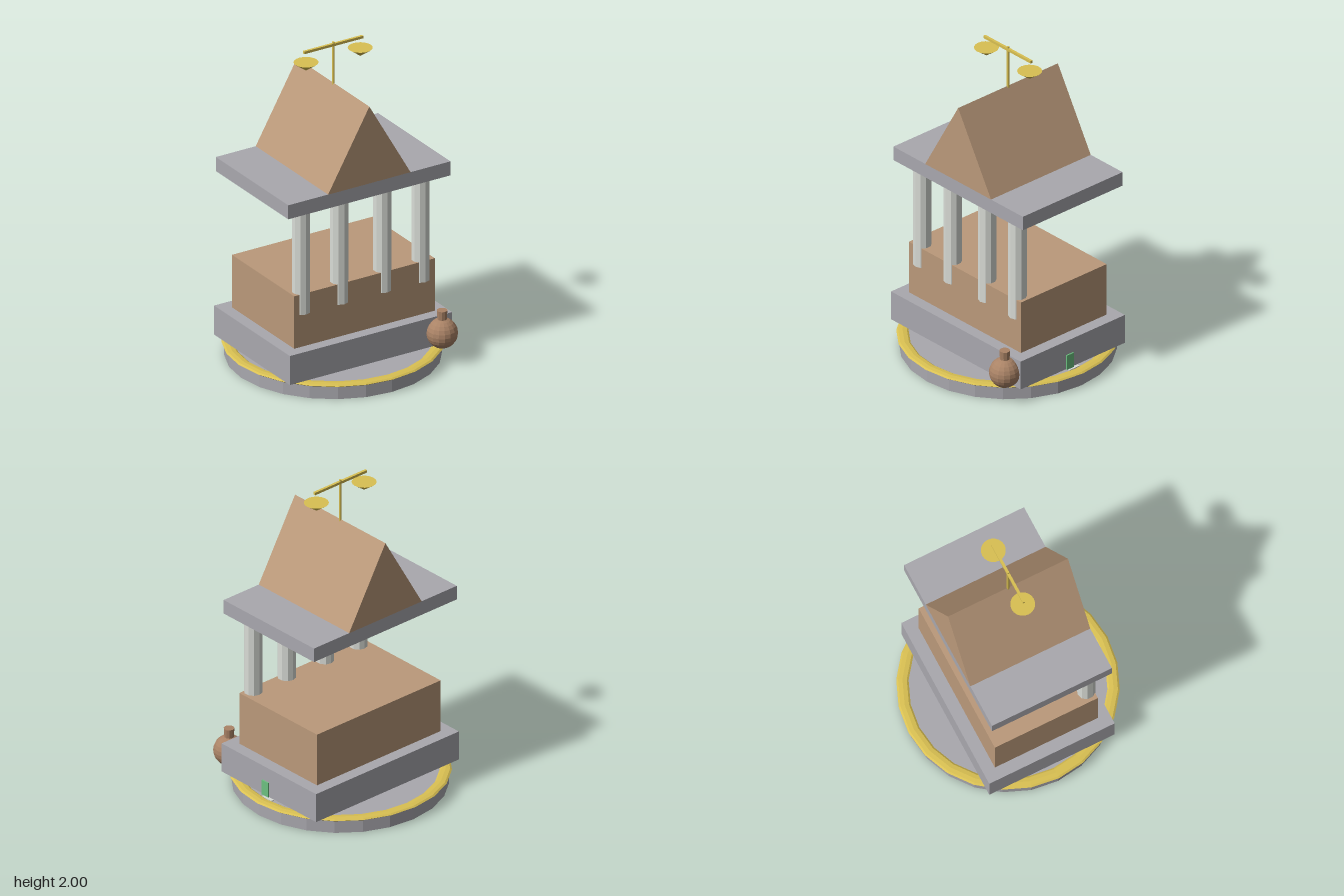
import * as THREE from 'three';

const mat = (name, color, flatShading = true) =>
  new THREE.MeshStandardMaterial({ name, color, flatShading });

export function createModel() {
  const stone = mat('grey stone', 0xa9a8ae);
  const brick = mat('tan wall', 0xba997a);
  const marble = mat('pale marble', 0xd9dcd6);
  const gold = mat('gold', 0xd9c052);
  const clay = mat('brown clay', 0xaa8366);
  const green = mat('green', 0x6cc080);

  const model = new THREE.Group();
  const add = (name, geometry, material, x = 0, y = 0, z = 0, parent = model) => {
    const mesh = new THREE.Mesh(geometry, material);
    mesh.name = name;
    mesh.position.set(x, y, z);
    parent.add(mesh);
    return mesh;
  };
  const group = (name) => {
    const g = new THREE.Group();
    g.name = name;
    model.add(g);
    return g;
  };

  // Round base with a flattened gold rim
  add('baseDisc', new THREE.CylinderGeometry(0.635, 0.635, 0.085, 24), stone, 0, 0.0425, 0);
  const rim = new THREE.TorusGeometry(0.615, 0.036, 8, 24).rotateX(Math.PI / 2).scale(1, 0.28, 1);
  add('goldRim', rim, gold, 0, 0.087, 0);

  // Stacked plinth and hall
  add('plinth', new THREE.BoxGeometry(1.12, 0.186, 0.82), stone, 0, 0.19, 0);
  add('hall', new THREE.BoxGeometry(0.97, 0.337, 0.674), brick, 0, 0.4515, 0.002);

  // Row of columns along the front
  const columns = group('columns');
  const columnShape = new THREE.CylinderGeometry(0.055, 0.055, 0.665, 10);
  for (const x of [-0.412, -0.149, 0.149, 0.412])
    add('column', columnShape, marble, x, 0.8225, 0.299, columns);

  // Slab and gabled roof
  add('roofSlab', new THREE.BoxGeometry(1.12, 0.09, 0.784), stone, 0, 1.2, 0);
  const gable = new THREE.Shape();
  gable.moveTo(-0.285, 0).lineTo(0.285, 0).lineTo(0, 0.494);
  const roof = new THREE.ExtrudeGeometry(gable, { depth: 0.784, bevelEnabled: false });
  add('roof', roof, brick, 0, 1.244, -0.392);

  // Balance scale on the ridge
  const scale = group('balanceScale');
  add('pole', new THREE.CylinderGeometry(0.008, 0.008, 0.28, 8), gold, 0, 1.86, 0, scale);
  add('beam', new THREE.BoxGeometry(0.408, 0.016, 0.016), gold, 0, 1.982, 0, scale);
  const panShape = new THREE.ConeGeometry(0.073, 0.053, 20).rotateX(Math.PI);
  for (const x of [-0.187, 0.187]) add('pan', panShape, gold, x, 1.889, 0, scale);

  // Round jar at the front corner
  const jar = group('jar');
  add('jarBody', new THREE.SphereGeometry(0.093, 16, 12), clay, 0.466, 0.19, 0.449, jar);
  add('jarNeck', new THREE.CylinderGeometry(0.032, 0.028, 0.06, 10), clay, 0.466, 0.305, 0.449, jar);

  // Small marker and pale sheet beside the plinth
  add('marker', new THREE.BoxGeometry(0.012, 0.095, 0.055), green, 0.563, 0.143, 0.025);
  add('sheet', new THREE.BoxGeometry(0.02, 0.006, 0.08), marble, 0.566, 0.089, 0);

  return model;
}
